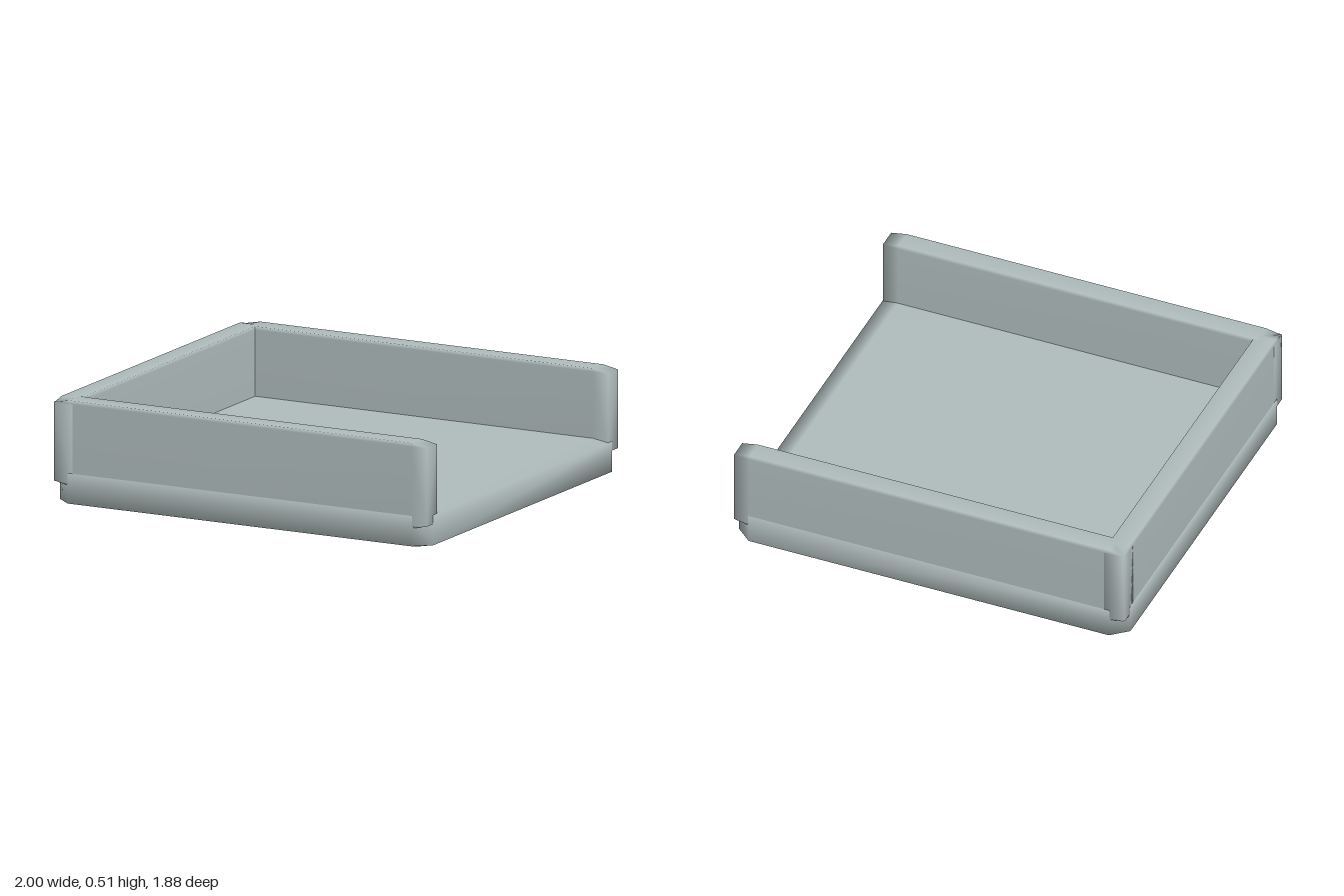
import * as THREE from 'three';
import { ConvexGeometry } from 'three/addons/geometries/ConvexGeometry.js';
import { mergeVertices } from 'three/addons/utils/BufferGeometryUtils.js';

// Box between two corners, chamfered by its own amount on each axis, with smooth normals
function chamferBox(min, max, bevel) {
  const center = min.map((v, i) => (v + max[i]) / 2);
  const half = max.map((v, i) => (v - min[i]) / 2);
  const points = [];
  for (const sx of [-1, 1]) for (const sy of [-1, 1]) for (const sz of [-1, 1]) {
    const sign = [sx, sy, sz];
    // each corner becomes three points, one on each adjoining face
    for (let face = 0; face < 3; face++) {
      const p = sign.map((s, i) => center[i] + s * (half[i] - (i === face ? 0 : bevel[i])));
      points.push(new THREE.Vector3(...p));
    }
  }
  const hull = new ConvexGeometry(points);
  hull.deleteAttribute('normal');
  const geometry = mergeVertices(hull, 1e-4);
  geometry.computeVertexNormals();
  return geometry;
}

export function createModel() {
  const group = new THREE.Group();
  group.name = 'openTray';
  const grey = new THREE.MeshStandardMaterial({ color: 0xb0bcbc });
  grey.name = 'paleGrey';

  const add = (name, min, max, bevel) => {
    const mesh = new THREE.Mesh(chamferBox(min, max, bevel), grey);
    mesh.name = name;
    group.add(mesh);
  };

  // Slab that forms the floor
  add('base', [-1, 0, -0.94], [1, 0.175, 0.94], [0.08, 0.015, 0.07]);

  // Front and back walls, set a hair inside the base faces
  add('frontWall', [-0.998, 0.1, 0.828], [0.998, 0.51, 0.938], [0.08, 0.016, 0.006]);
  add('backWall', [-0.998, 0.1, -0.938], [0.998, 0.51, -0.828], [0.08, 0.016, 0.006]);

  // Wall closing the right end; the left end stays open
  add('rightWall', [-0.998, 0.1, -0.938], [-0.888, 0.51, 0.938], [0.006, 0.016, 0.07]);

  return group;
}
